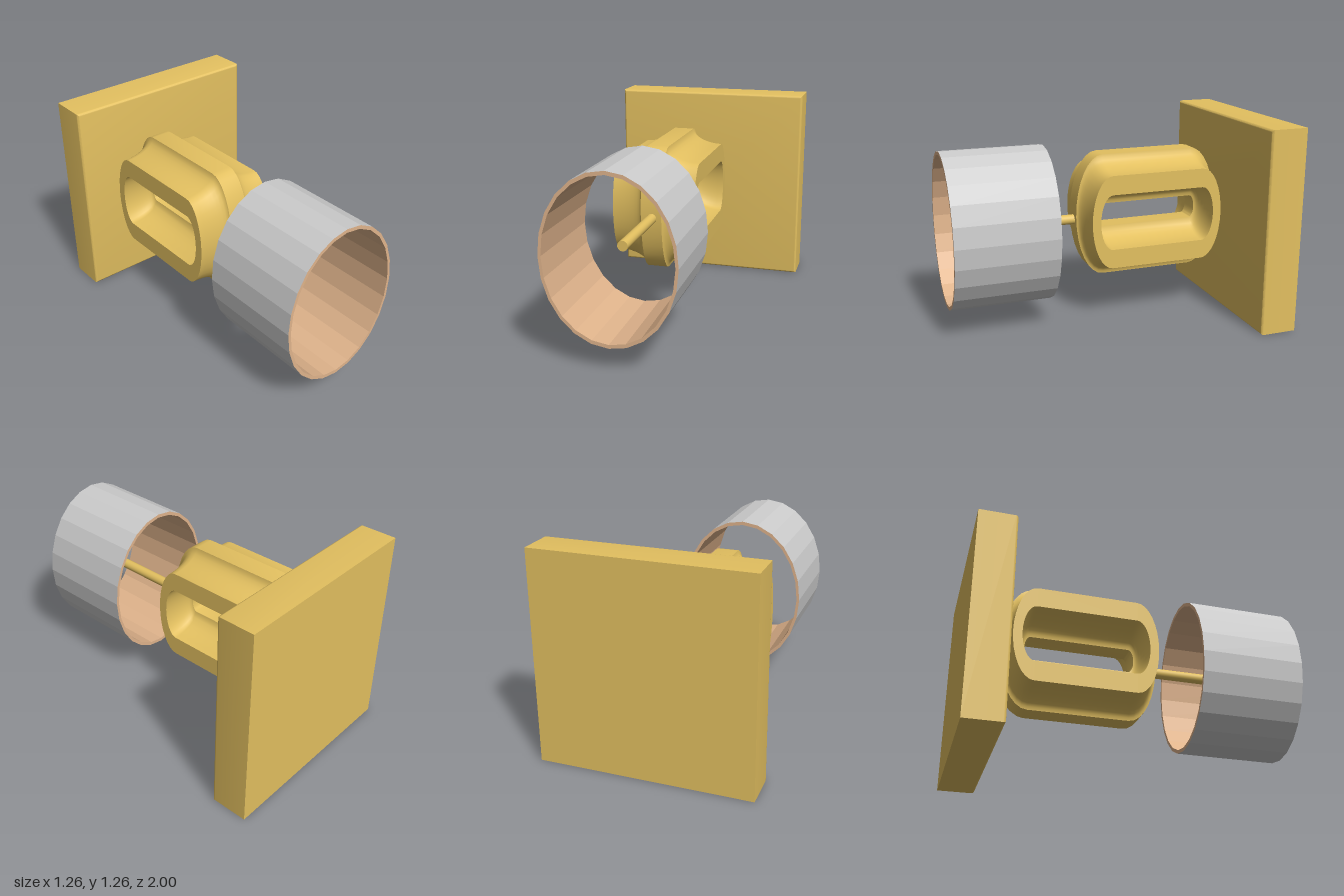
import * as THREE from 'three';
import { toCreasedNormals } from 'three/addons/utils/BufferGeometryUtils.js';
import { ConvexGeometry } from 'three/addons/geometries/ConvexGeometry.js';

const gold = new THREE.MeshStandardMaterial({ color: 0xe3c060 });
const grey = new THREE.MeshStandardMaterial({ color: 0xcccccc, flatShading: true });
const peach = new THREE.MeshStandardMaterial({ color: 0xe0b48c, flatShading: true });

function part(name, geometry, material) {
  const mesh = new THREE.Mesh(geometry, material);
  mesh.name = name;
  return mesh;
}

// Square slab, sharp at the back, with small rounded edges at the front
function plateGeometry() {
  const half = 0.63, back = -1, front = -0.77, r = 0.015;
  const levels = [[half, back]];
  for (let i = 0; i <= 4; i++) {
    const a = (i / 4) * Math.PI / 2;
    levels.push([half - r * (1 - Math.cos(a)), front - r + r * Math.sin(a)]);
  }
  const points = [];
  for (const [h, z] of levels)
    for (const sx of [-1, 1])
      for (const sy of [-1, 1]) points.push(new THREE.Vector3(sx * h, 0.63 + sy * h, z));
  return toCreasedNormals(new ConvexGeometry(points), 0.5);
}

// Closed section (side offset, radius): broad ring with a raised rib outside and inside
function ringSection() {
  const halfWidth = 0.26, rib = 0.065, steps = 8, section = [];
  const run = halfWidth - rib;
  const fillet = (side, edge, crest, outward) => {
    for (let i = 0; i <= steps; i++) {
      const a = ((outward ? i : steps - i) / steps) * Math.PI / 2;
      section.push([side * (halfWidth - run * Math.sin(a)), edge + (crest - edge) * (1 - Math.cos(a))]);
    }
  };
  fillet(-1, 0.294, 0.39, true);
  fillet(1, 0.294, 0.39, false);
  fillet(1, 0.174, 0.074, true);
  fillet(-1, 0.174, 0.074, false);
  return section;
}

// Sweep the section round a long loop: two elliptical ends joined by straight bars
function ringGeometry() {
  const section = ringSection(), n = section.length;
  const path = [], segs = 16, squash = 0.45, halfStraight = 0.3;
  for (const end of [1, -1])
    for (let i = 0; i <= segs; i++) {
      const a = (i / segs) * Math.PI;
      path.push([end * Math.cos(a), end * Math.sin(a) * squash, end * halfStraight]);
    }
  const positions = [], index = [];
  for (const [y, z, shift] of path)
    for (const [x, r] of section) positions.push(x, y * r, z * r + shift);
  for (let j = 0; j < path.length; j++)
    for (let i = 0; i < n; i++) {
      const j2 = (j + 1) % path.length, i2 = (i + 1) % n;
      const a = j * n + i, b = j * n + i2, c = j2 * n + i2, d = j2 * n + i;
      index.push(a, d, b, b, d, c);
    }
  const geometry = new THREE.BufferGeometry();
  geometry.setAttribute('position', new THREE.Float32BufferAttribute(positions, 3));
  geometry.setIndex(index);
  return toCreasedNormals(geometry, 0.7);
}

export function createModel() {
  const model = new THREE.Group();
  model.name = 'wallMountedHolder';

  model.add(part('backPlate', plateGeometry(), gold));

  const ring = part('ribbedLoop', ringGeometry(), gold);
  ring.position.set(-0.145, 0.648, -0.3);
  model.add(ring);

  // Thin rod from the loop into the sleeve
  const rodGeometry = new THREE.CylinderGeometry(0.031, 0.031, 0.6, 24).rotateX(Math.PI / 2);
  const rod = part('rod', rodGeometry, gold);
  rod.position.set(-0.142, 0.62, 0.41);
  model.add(rod);

  // Open oval sleeve: grey outside, coloured lining and rims
  const sleeve = new THREE.Group();
  sleeve.name = 'sleeve';
  const length = 0.63, outer = 1, inner = 0.955, sides = 24;
  const shell = [[outer, -length / 2], [outer, length / 2]];
  const lining = [[outer, length / 2], [inner, length / 2], [inner, -length / 2], [outer, -length / 2]];
  for (const [name, profile, material] of [['sleeveShell', shell, grey], ['sleeveLining', lining, peach]]) {
    const geometry = new THREE.LatheGeometry(profile.map(p => new THREE.Vector2(...p)), sides);
    geometry.rotateX(Math.PI / 2).scale(0.388, 0.488, 1);
    sleeve.add(part(name, geometry, material));
  }
  sleeve.position.set(-0.128, 0.627, 0.685);
  model.add(sleeve);

  return model;
}
